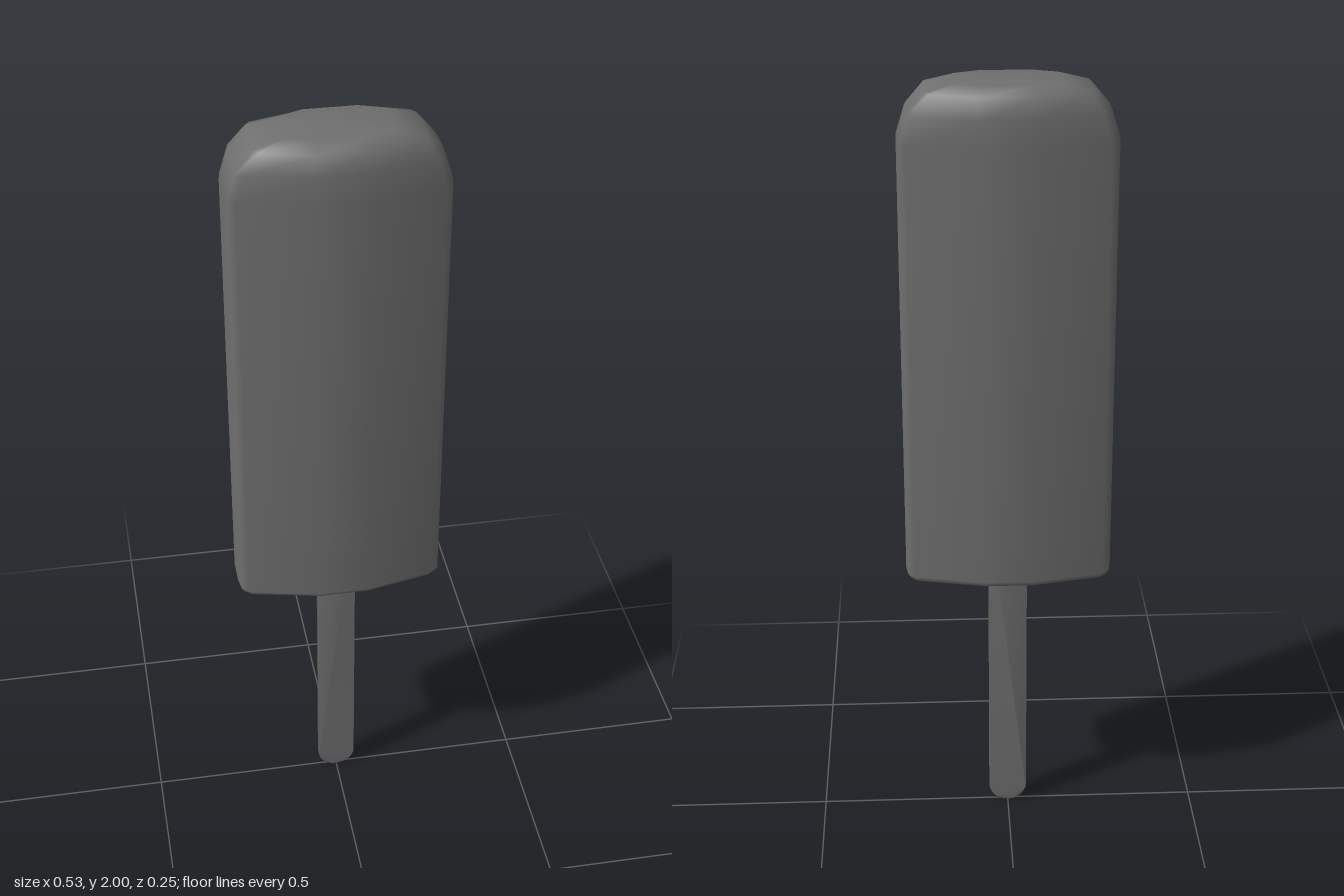
import * as THREE from 'three';
import { mergeVertices } from 'three/addons/utils/BufferGeometryUtils.js';

const material = new THREE.MeshStandardMaterial({ color: 0x6f6f6f });

// One quarter of the bar's horizontal section [x, z], mirrored into a closed loop
const KNEE = 0.063;
const quarter = [[0.263, 0.035], [0.257, 0.072], [0.24, 0.087], [KNEE, 0.127]];
const flipped = [...quarter].reverse();
const section = [
  ...quarter,
  ...flipped.map(([x, z]) => [-x, z]),
  ...quarter.map(([x, z]) => [-x, -z]),
  ...flipped.map(([x, z]) => [x, -z]),
];

// Levels of the bar: [y, half width, half depth]
const levels = [
  [0.72, 0.238, 0.1],
  [0.724, 0.253, 0.115],
  [0.74, 0.263, 0.127],
  [1.865, 0.263, 0.127],
  [1.932, 0.242, 0.126],
  [1.981, 0.2, 0.113],
  [2.0, 0.13, 0.08],
];

function createBar() {
  const n = section.length;
  const pos = [];
  const idx = [];
  // The flat middle keeps its width while the outer flanks draw in
  for (const [y, w, d] of levels) {
    const k = (w - KNEE) / (0.263 - KNEE);
    for (const [x, z] of section) {
      pos.push(Math.sign(x) * (KNEE + (Math.abs(x) - KNEE) * k), y, z * d / 0.127);
    }
  }
  for (let i = 0; i < levels.length - 1; i++) {
    for (let j = 0; j < n; j++) {
      const a = i * n + j;
      const b = i * n + (j + 1) % n;
      idx.push(a, a + n, b, b, a + n, b + n);
    }
  }
  // Closed bottom and top
  const bottom = levels.length * n;
  const top = bottom + 1;
  const last = (levels.length - 1) * n;
  pos.push(0, 0.72, 0, 0, 2, 0);
  for (let j = 0; j < n; j++) {
    const k = (j + 1) % n;
    idx.push(bottom, j, k, top, last + k, last + j);
  }
  const geometry = new THREE.BufferGeometry();
  geometry.setAttribute('position', new THREE.Float32BufferAttribute(pos, 3));
  geometry.setIndex(idx);
  geometry.computeVertexNormals();
  return geometry;
}

function createStick() {
  // Flat strip with a rounded lower end, reaching up into the bar
  const r = 0.05;
  const thickness = 0.018;
  const shape = new THREE.Shape();
  shape.moveTo(r, 0.9);
  shape.lineTo(-r, 0.9);
  shape.lineTo(-r, r);
  shape.absarc(0, r, r, Math.PI, Math.PI * 2, false);
  shape.closePath();
  const strip = new THREE.ExtrudeGeometry(shape, { depth: thickness, bevelEnabled: false, curveSegments: 12 })
    .translate(0, 0, -thickness / 2);
  // Weld the edges so the thin rim shades softly into the faces
  strip.deleteAttribute('normal');
  strip.deleteAttribute('uv');
  const geometry = mergeVertices(strip);
  geometry.computeVertexNormals();
  return geometry;
}

export function createModel() {
  const model = new THREE.Group();
  model.name = 'iceCreamBar';
  const add = (name, geometry) => {
    const mesh = new THREE.Mesh(geometry, material);
    mesh.name = name;
    model.add(mesh);
  };
  add('bar', createBar());
  add('stick', createStick());
  return model;
}
